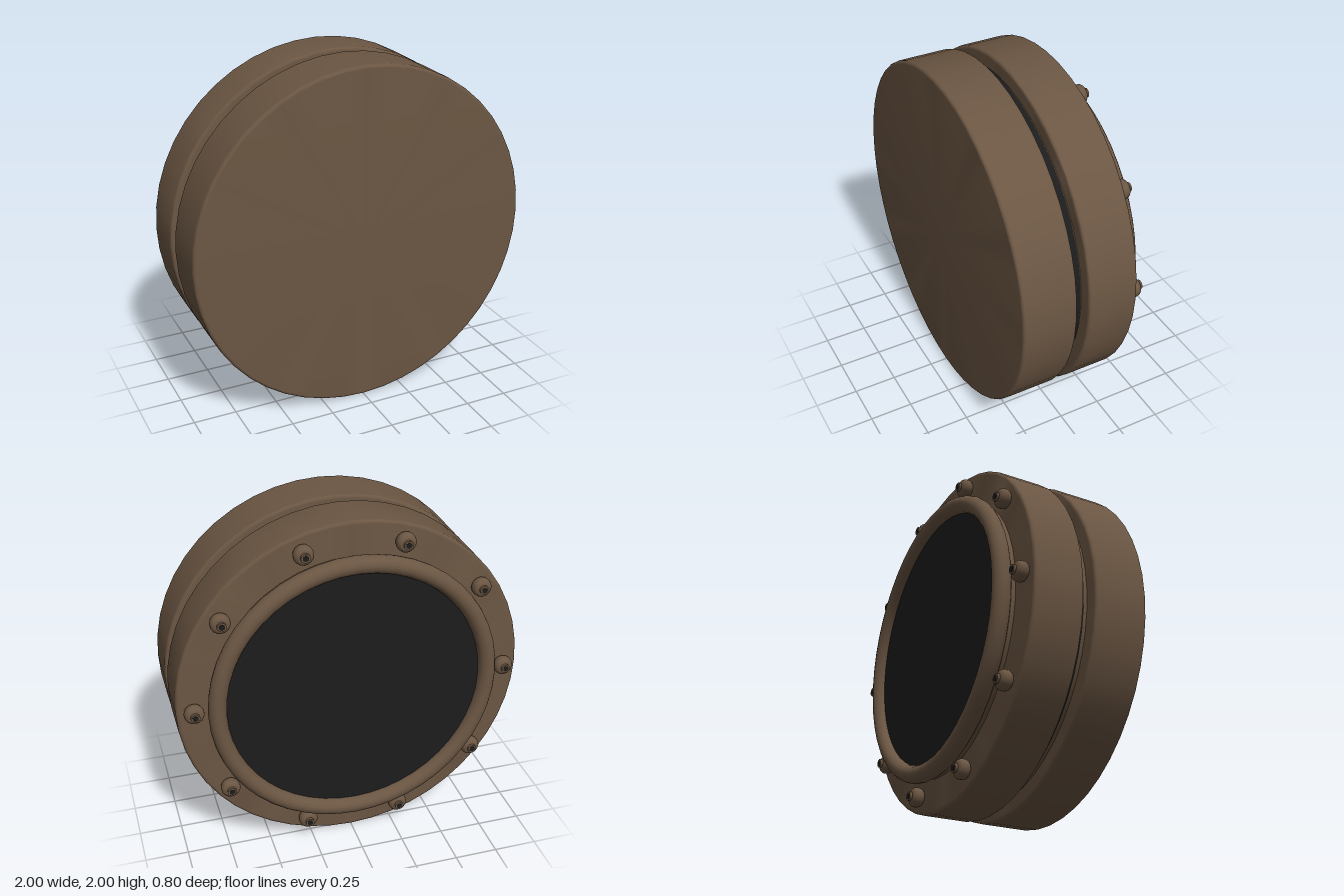
import * as THREE from 'three';
import { toCreasedNormals } from 'three/addons/utils/BufferGeometryUtils.js';

const SEGMENTS = 48;

export function createModel() {
  const bronze = new THREE.MeshStandardMaterial({ color: 0x6b5643 });
  bronze.name = 'bronze';
  const black = new THREE.MeshStandardMaterial({ color: 0x1c1c1c });
  black.name = 'black';

  const model = new THREE.Group();
  model.name = 'drumHousing';
  const body = new THREE.Group();
  body.name = 'body';
  body.position.y = 1;
  model.add(body);

  function add(parent, name, geometry, material, z = 0) {
    const mesh = new THREE.Mesh(geometry, material);
    mesh.name = name;
    mesh.position.z = z;
    parent.add(mesh);
    return mesh;
  }

  // Solid disc along z with rounded rims; support rings keep the flat faces evenly shaded
  function roundedDisc(radius, back, front, bevel, segments = SEGMENTS) {
    const support = bevel * 0.15;
    const inner = radius - bevel;
    const points = [new THREE.Vector2(0, back), new THREE.Vector2(inner - support, back)];
    for (const [z, start, side] of [[back + bevel, -Math.PI / 2, support], [front - bevel, 0, -support]]) {
      const arc = [];
      for (let i = 0; i <= 4; i++) {
        const a = start + (i / 4) * Math.PI / 2;
        arc.push(new THREE.Vector2(inner + Math.cos(a) * bevel, z + Math.sin(a) * bevel));
      }
      const ring = new THREE.Vector2(radius, z + side);
      points.push(...(side > 0 ? [...arc, ring] : [ring, ...arc]));
    }
    points.push(new THREE.Vector2(inner - support, front), new THREE.Vector2(0, front));
    const geometry = new THREE.LatheGeometry(points, segments).rotateX(Math.PI / 2);
    return toCreasedNormals(geometry, 0.6);
  }

  const cylinder = (radius, back, front, segments = SEGMENTS) =>
    new THREE.CylinderGeometry(radius, radius, front - back, segments)
      .rotateX(Math.PI / 2).translate(0, 0, (back + front) / 2);

  // Two main drums joined by a recessed neck with a dark seal
  add(body, 'frontDrum', roundedDisc(1, 0.085, 0.4, 0.018), bronze);
  add(body, 'backDrum', roundedDisc(1, -0.278, 0.015, 0.018), bronze);
  add(body, 'neck', cylinder(0.914, 0, 0.1), bronze);
  add(body, 'seal', cylinder(0.918, 0.02, 0.063), black);

  // Raised boss with a rounded rim around the dark back panel
  add(body, 'backBoss', cylinder(0.805, -0.335, -0.26), bronze);
  add(body, 'backRim', new THREE.TorusGeometry(0.784, 0.051, 16, SEGMENTS), bronze, -0.349);
  add(body, 'backPanel', cylinder(0.76, -0.347, -0.338), black);

  // Ring of ten bolts, each with a dark socket in its end
  const collarGeometry = roundedDisc(0.056, -0.345, -0.274, 0.03, 16);
  const studGeometry = toCreasedNormals(cylinder(0.026, -0.36, -0.33, 12), 0.6);
  const socketGeometry = cylinder(0.018, -0.362, -0.357, 6);
  for (let i = 0; i < 10; i++) {
    const a = (i / 10) * Math.PI * 2;
    const bolt = new THREE.Group();
    bolt.name = 'bolt';
    bolt.position.set(Math.cos(a) * 0.905, Math.sin(a) * 0.905, 0);
    add(bolt, 'boltCollar', collarGeometry, bronze);
    add(bolt, 'boltStud', studGeometry, bronze);
    add(bolt, 'boltSocket', socketGeometry, black);
    body.add(bolt);
  }

  return model;
}
